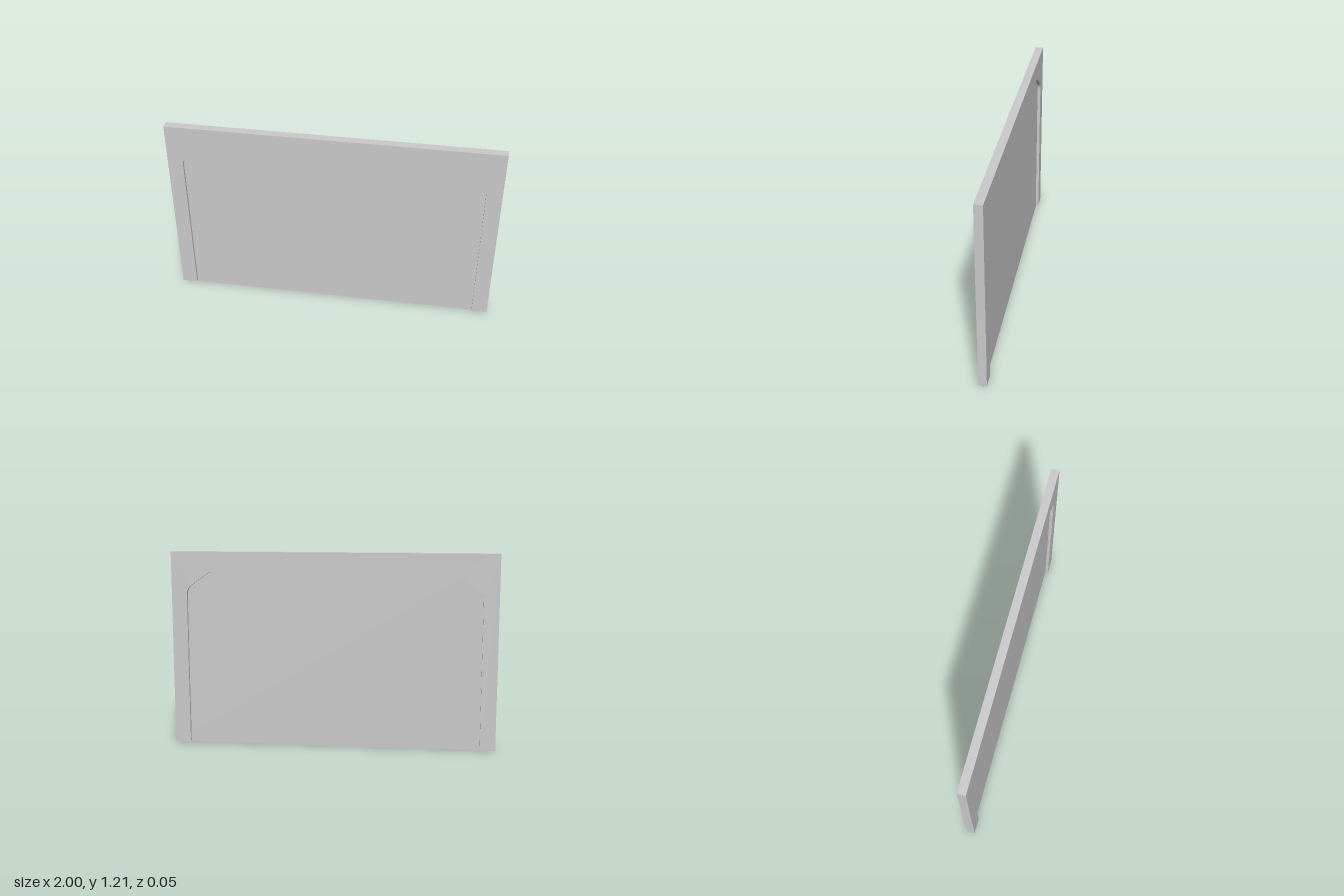
import * as THREE from 'three';

const material = new THREE.MeshStandardMaterial({ color: 0xcccccc });

const TOP = 1.205, FOOT = 0.01, DEPTH = 0.05, PANEL_DEPTH = 0.012;

// Arch-shaped surround, open at the bottom, with softened chamfer corners
function frameShape() {
  const s = new THREE.Shape();
  s.moveTo(-0.998, FOOT);
  s.lineTo(-0.905, FOOT);
  s.lineTo(-0.905, 0.94);
  s.quadraticCurveTo(-0.905, 0.98, -0.87, 1.003);
  s.lineTo(-0.785, 1.064);
  s.quadraticCurveTo(-0.75, 1.09, -0.71, 1.09);
  s.lineTo(0.71, 1.09);
  s.quadraticCurveTo(0.75, 1.09, 0.785, 1.064);
  s.lineTo(0.87, 1.003);
  s.quadraticCurveTo(0.905, 0.98, 0.905, 0.94);
  s.lineTo(0.905, FOOT);
  s.lineTo(1, FOOT);
  s.lineTo(1, TOP);
  s.lineTo(-0.998, TOP);
  s.closePath();
  return s;
}

export function createModel() {
  const model = new THREE.Group();
  model.name = 'framedPanel';

  // Surround, standing proud of the panel on both faces
  const frameGeometry = new THREE.ExtrudeGeometry(frameShape(), {
    depth: DEPTH, bevelEnabled: false, curveSegments: 8,
  });
  frameGeometry.translate(0, 0, -DEPTH / 2);
  const frame = new THREE.Mesh(frameGeometry, material);
  frame.name = 'frame';

  // Thin panel held inside the frame, reaching just below its feet
  const panel = new THREE.Mesh(new THREE.BoxGeometry(1.996, 1.195, PANEL_DEPTH), material);
  panel.name = 'panel';
  panel.position.set(-0.002, 1.195 / 2, 0);

  model.add(frame, panel);
  return model;
}
